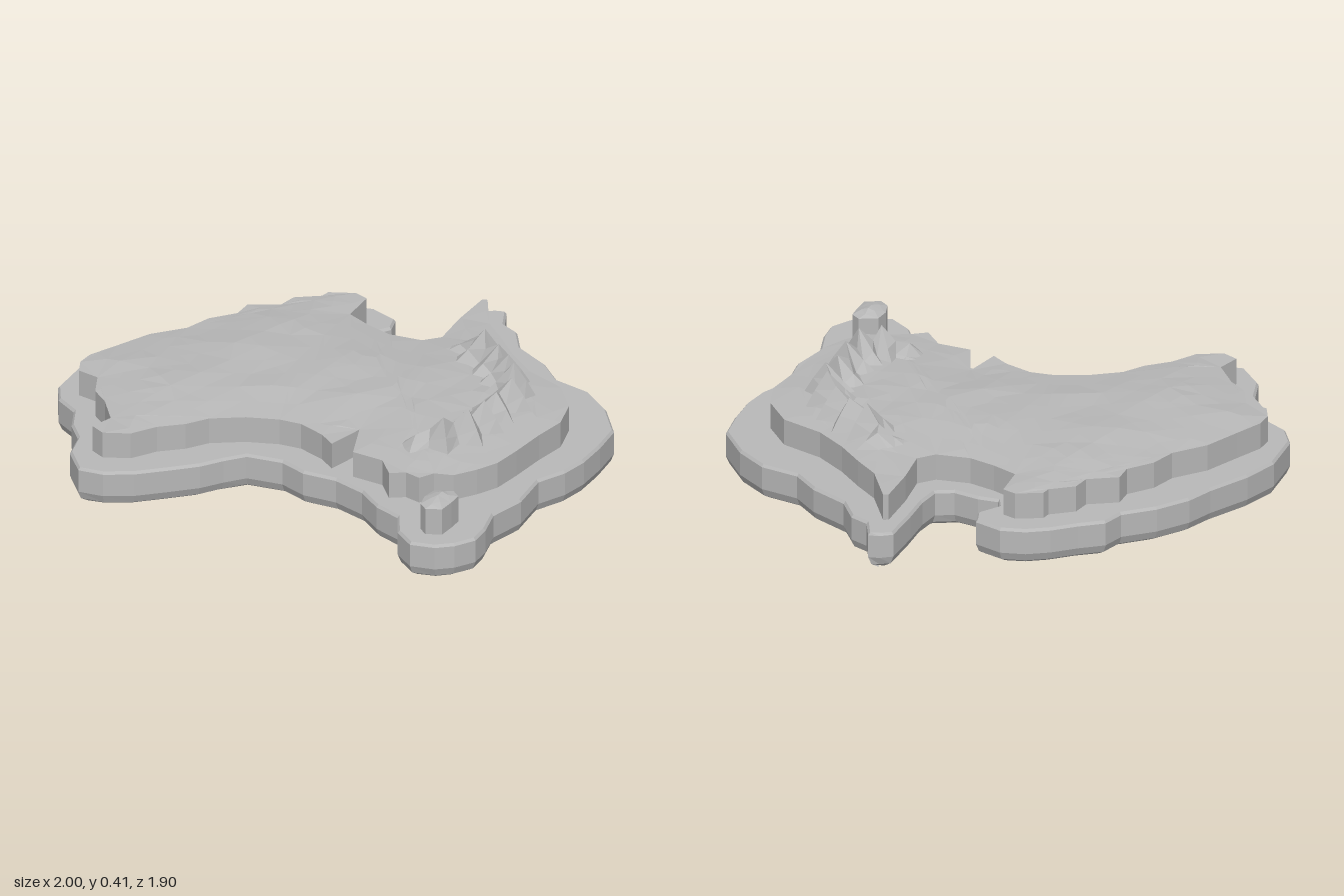
import * as THREE from 'three';

const stone = new THREE.MeshStandardMaterial({ color: 0xb8b8b8, flatShading: true });
stone.name = 'grey stone';

// Outlines as x, z pairs in hundredths, clockwise seen from above
const BASE = [
  -100,-23, -93,-41, -83,-52, -69,-63, -61,-71, -49,-78, -36,-82, -30,-89, -20,-91, -10,-94,
  -1,-95, 8,-93, 16,-85, 15,-78, 7,-73, 7,-68, 14,-65, 22,-59, 29,-59, 34,-67,
  39,-79, 46,-94, 51,-95, 55,-94, 55,-84, 60,-78, 62,-66, 72,-53, 77,-41, 89,-32,
  96,-19, 100,-2, 96,11, 91,23, 85,32, 76,40, 71,56, 62,68, 60,80, 57,88,
  50,93, 43,95, 34,93, 29,84, 28,72, 20,64, 14,53, 4,44, -8,39, -16,31,
  -29,27, -37,31, -45,36, -56,40, -68,44, -79,45, -88,42, -92,29, -90,17, -93,7,
  -93,-4, -99,-13];
const LAND = [
  -92,-23, -89,-29, -80,-37, -69,-47, -56,-53, -49,-61, -39,-66, -36,-73, -24,-74, -20,-80,
  -10,-82, -8,-85, 2,-85, 6,-81, 1,-68, 8,-60, 16,-53, 28,-49, 35,-52, 40,-67,
  47,-83, 49,-83, 51,-64, 56,-53, 61,-40, 68,-27, 80,-15, 84,0, 82,13, 75,24,
  68,37, 62,47, 55,53, 47,58, 40,57, 35,61, 30,57, 24,58, 21,48, 10,42,
  11,24, 2,36, -2,29, -10,21, -18,18, -30,17, -43,19, -51,24, -61,27, -70,33,
  -80,33, -84,28, -78,21, -81,8, -85,0, -85,-11, -92,-16];
const ISLAND = [37,82, 38,76, 41,71, 48,71, 50,75, 48,80, 45,86, 39,86];
const CREST = [47,-47, 52,-32, 59,-21, 64,-5, 64,5, 58,16, 54,27, 47,35, 38,38, 27,36];

// Vector2 holds (x, z)
const toPoints = (a) => Array.from({ length: a.length / 2 },
  (_, i) => new THREE.Vector2(a[2 * i] / 100, a[2 * i + 1] / 100));

// Moves an outline inwards along its averaged edge normals
function inset(pts, d) {
  const n = pts.length;
  return pts.map((p, i) => {
    const t = pts[(i + 1) % n].clone().sub(pts[(i + n - 1) % n]).normalize();
    return new THREE.Vector2(p.x - t.y * d, p.y + t.x * d);
  });
}

function edgeDistance(p, pts) {
  let best = Infinity;
  pts.forEach((a, i) => {
    const e = pts[(i + 1) % pts.length].clone().sub(a);
    const w = p.clone().sub(a);
    const t = THREE.MathUtils.clamp(w.dot(e) / e.lengthSq(), 0, 1);
    best = Math.min(best, w.addScaledVector(e, -t).length());
  });
  return best;
}

const bumps = (p) => Math.sin(p.x * 11 + 2 * Math.sin(p.y * 7)) * Math.cos(p.y * 13 + p.x * 5);

// Splits long edges in half until the triangle is small
function split(a, b, c, max, out) {
  const ab = a.distanceTo(b), bc = b.distanceTo(c), ca = c.distanceTo(a);
  const m = Math.max(ab, bc, ca);
  if (m <= max) return out.push([a, b, c]);
  if (m === bc) [a, b, c] = [b, c, a];
  else if (m === ca) [a, b, c] = [c, a, b];
  const mid = a.clone().add(b).multiplyScalar(0.5);
  split(a, mid, c, max, out);
  split(mid, b, c, max, out);
}

// Surface filling an outline; height(p, d) gets the point and its distance from the edge
function addCap(pos, pts, height, up, max) {
  const tris = [];
  for (const f of THREE.ShapeUtils.triangulateShape(pts, [])) {
    const [a, b, c] = f.map((i) => pts[i]);
    const facesUp = (b.y - a.y) * (c.x - a.x) - (b.x - a.x) * (c.y - a.y) > 0;
    split(a, facesUp === up ? b : c, facesUp === up ? c : b, max, tris);
  }
  for (const t of tris) for (const p of t) pos.push(p.x, height(p, edgeDistance(p, pts)), p.y);
}

// Walls through a stack of [outline, y] rings, from bottom to top
function addWalls(pos, rings) {
  for (let r = 0; r + 1 < rings.length; r++) {
    const [lo, y0] = rings[r], [hi, y1] = rings[r + 1];
    lo.forEach((a, i) => {
      const j = (i + 1) % lo.length, b = lo[j], A = hi[i], B = hi[j];
      pos.push(a.x, y0, a.y, A.x, y1, A.y, B.x, y1, B.y);
      pos.push(a.x, y0, a.y, B.x, y1, B.y, b.x, y0, b.y);
    });
  }
}

function makeMesh(name, pos) {
  const g = new THREE.BufferGeometry();
  g.setAttribute('position', new THREE.Float32BufferAttribute(pos, 3));
  g.computeVertexNormals();
  const mesh = new THREE.Mesh(g, stone);
  mesh.name = name;
  return mesh;
}

// Broad lower plate with a rounded, rough underside
function makeBase() {
  const pos = [], o = toPoints(BASE);
  const bottom = inset(o, 0.04), top = inset(o, 0.008);
  addWalls(pos, [[bottom, 0.03], [inset(o, 0.012), 0.046], [o, 0.075], [o, 0.16], [top, 0.17]]);
  addCap(pos, top, () => 0.17, true, 9);
  addCap(pos, bottom, (p, d) =>
    0.03 - Math.min(1, d / 0.15) * (0.015 + 0.014 * bumps(p)), false, 0.16);
  return makeMesh('coastalBase', pos);
}

// Raised land with a gently domed, uneven top
function makeLand() {
  const pos = [], o = toPoints(LAND);
  addWalls(pos, [[o, 0.165], [o, 0.268]]);
  addCap(pos, o, (p, d) =>
    0.268 + Math.min(1, d / 0.22) * (0.025 + 0.006 * bumps(p)), true, 0.14);
  return makeMesh('raisedLand', pos);
}

// Small island block with a sloping top
function makeIsland() {
  const pos = [], o = toPoints(ISLAND);
  addWalls(pos, [[o, 0.165], [o, 0.27]]);
  addCap(pos, o, (p, d) => 0.27 + Math.min(0.02, d * 0.45), true, 0.06);
  return makeMesh('smallIsland', pos);
}

// Jagged ridge: cross-sections alternate between peaks and saddles
function makeRidge() {
  const curve = new THREE.CatmullRomCurve3(toPoints(CREST).map((p) => new THREE.Vector3(p.x, 0, p.y)));
  const n = 22, rows = [], pos = [];
  for (let i = 0; i <= n; i++) {
    const u = i / n, c = curve.getPointAt(u), t = curve.getTangentAt(u);
    const peak = i % 2, end = Math.min(1, Math.min(i, n - i) / 2.5);
    const top = 0.275 + end * (peak ? 0.122 + 0.012 * Math.sin(i * 2.3) : 0.078);
    const at = (d, y) => [c.x - t.z * d, y, c.z + t.x * d];
    rows.push([
      at(peak ? 0.13 : 0.1, 0.272),
      at(peak ? 0.065 : 0.05, 0.28 + (top - 0.28) * (peak ? 0.42 : 0.3)),
      at(peak ? 0 : 0.025, top),
      at(peak ? -0.045 : -0.005, 0.28 + (top - 0.28) * 0.45),
      at(peak ? -0.085 : -0.035, 0.265)]);
  }
  for (let i = 0; i < n; i++) {
    for (let j = 0; j < 4; j++) {
      const a = rows[i][j], b = rows[i + 1][j], c = rows[i + 1][j + 1], d = rows[i][j + 1];
      pos.push(...a, ...b, ...c, ...a, ...c, ...d);
    }
  }
  return makeMesh('mountainRidge', pos);
}

export function createModel() {
  const model = new THREE.Group();
  model.name = 'reliefMap';
  model.add(makeBase(), makeLand(), makeIsland(), makeRidge());
  return model;
}
